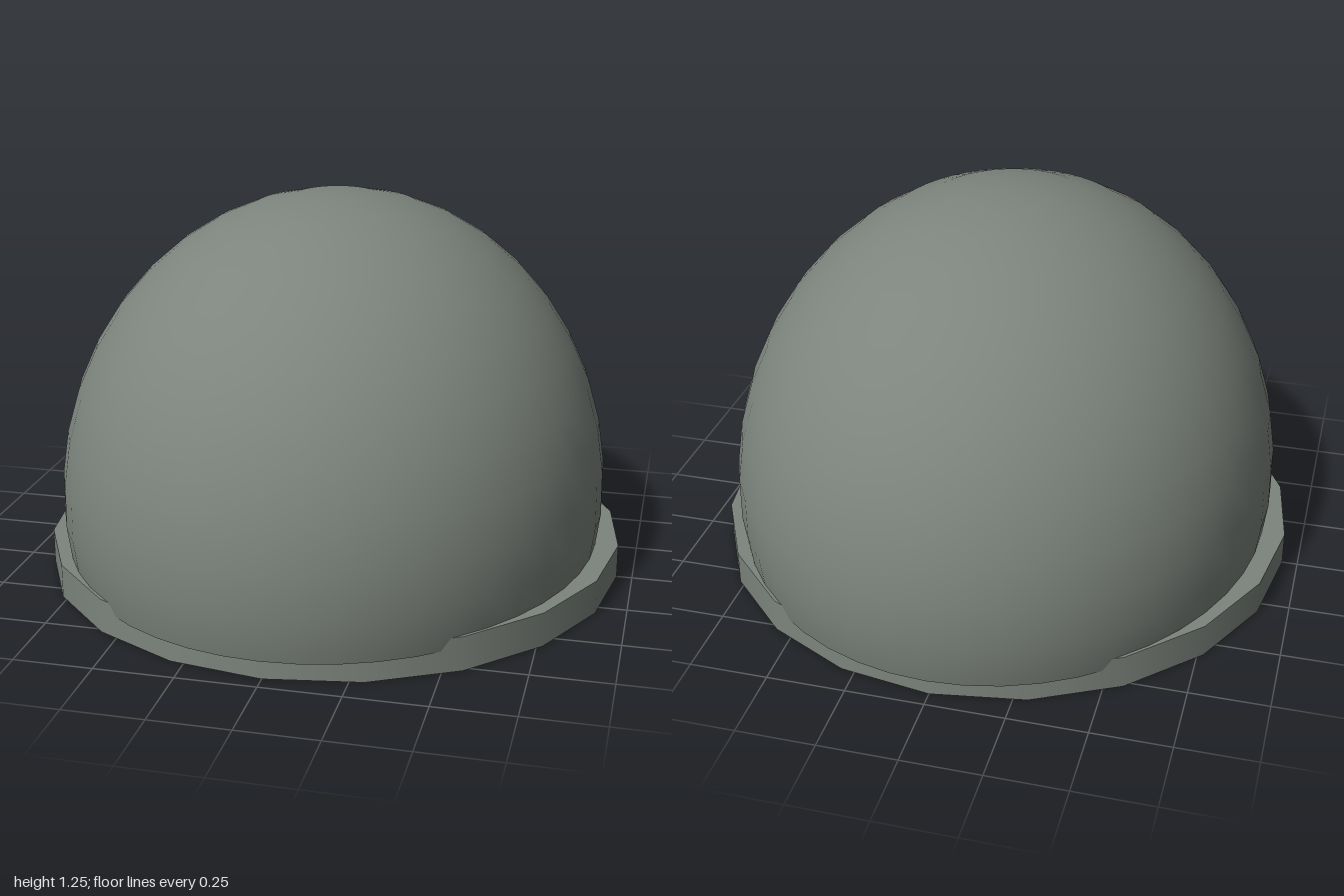
import * as THREE from 'three';

export function createModel() {
  const model = new THREE.Group();
  const grey = new THREE.MeshStandardMaterial({ color: 0x7d847d });
  grey.name = 'stone grey';

  function add(name, geometry, x, y, z) {
    const mesh = new THREE.Mesh(geometry, grey);
    mesh.name = name;
    mesh.position.set(x, y, z);
    model.add(mesh);
    return mesh;
  }

  // Oval dome, cut a little below its widest level
  const rx = 0.89, ry = 0.97, rz = 1, centreY = 0.275, cutY = 0.07;
  const cutAngle = Math.acos((cutY - centreY) / ry);
  const dome = new THREE.SphereGeometry(1, 48, 12, 0, Math.PI * 2, 0, cutAngle);
  dome.scale(rx, ry, rz);
  add('dome', dome, 0, centreY, 0);

  // Flat underside closing the dome
  const rim = Math.sin(cutAngle);
  const underside = new THREE.CircleGeometry(rim, 48);
  underside.rotateX(Math.PI / 2);
  underside.scale(rx, 1, rz);
  add('domeUnderside', underside, 0, cutY, 0);

  // Round base plate that shows at the sides of the dome
  add('basePlate', new THREE.CylinderGeometry(0.95, 0.95, 0.11, 20), 0, 0.055, 0);

  return model;
}
